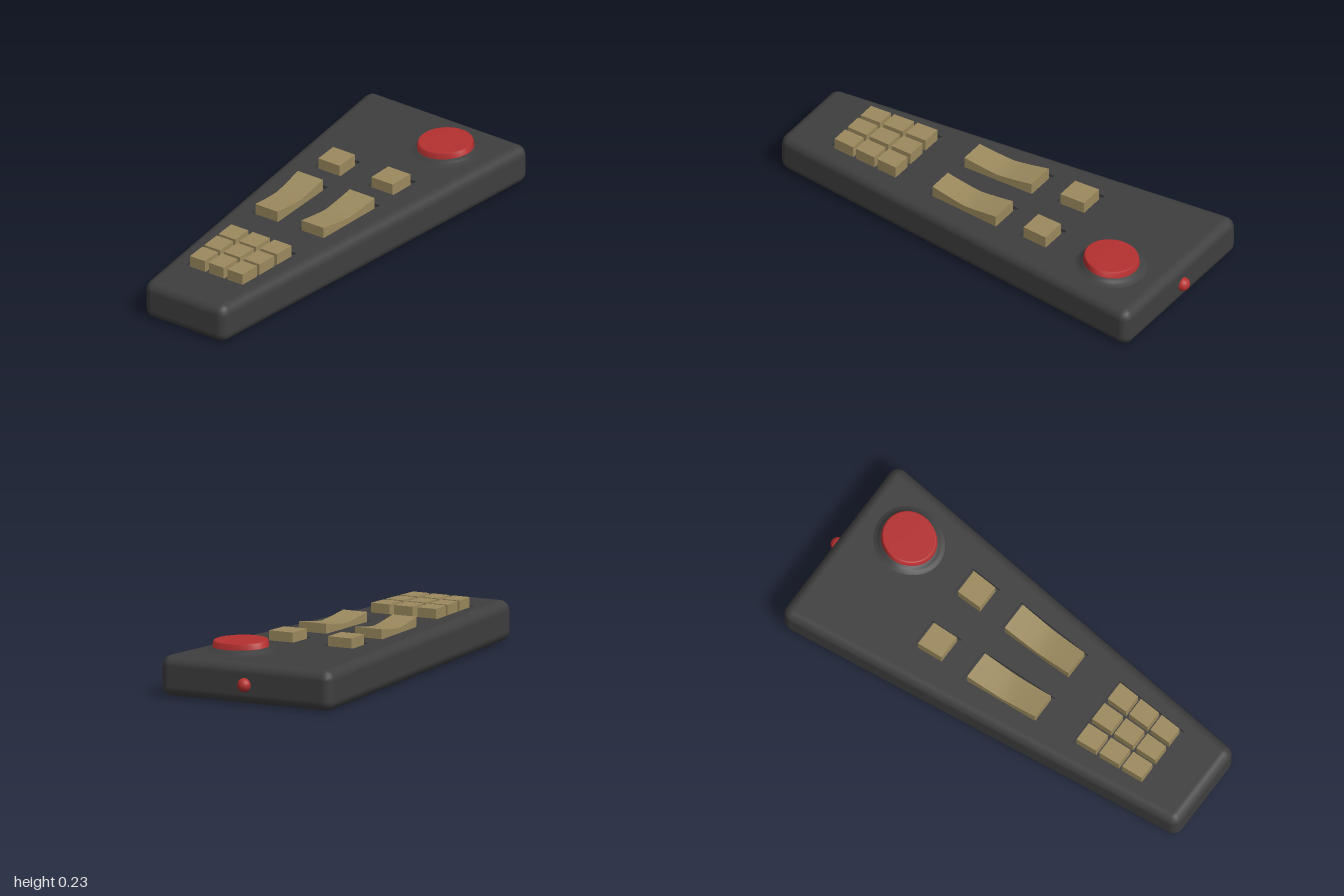
import * as THREE from 'three';

const TOP = 0.18, R = 0.045, BACK = -0.967, FRONT = 1;
const SLOPE = 0.11, TILT = Math.atan(SLOPE);
// half width of the handset at depth z
const halfWidth = (z) => 0.325 - SLOPE * z;

const dark = new THREE.MeshStandardMaterial({ color: 0x3f3f3f });
const recessDark = new THREE.MeshStandardMaterial({ color: 0x3f3f3f, side: THREE.DoubleSide });
const tan = new THREE.MeshStandardMaterial({ color: 0x9c8a5e });
const red = new THREE.MeshStandardMaterial({ color: 0xb53030 });

function add(group, name, geometry, material) {
  const mesh = new THREE.Mesh(geometry, material);
  mesh.name = name;
  group.add(mesh);
  return mesh;
}

// turns x, given as a fraction of the half width, into a real position
function taper(geometry) {
  const p = geometry.attributes.position;
  for (let i = 0; i < p.count; i++) p.setX(i, p.getX(i) * halfWidth(p.getZ(i)));
  geometry.computeVertexNormals();
  return geometry;
}

// tapered block between two width fractions, two depths and two heights
function block([u0, u1, z0, z1], y0, y1, segments = 1, dip = 0) {
  const g = new THREE.BoxGeometry(u1 - u0, y1 - y0, z1 - z0, 1, 1, segments);
  const p = g.attributes.position;
  for (let i = 0; i < p.count; i++) {
    const t = Math.abs(p.getZ(i)) / ((z1 - z0) / 2);
    if (p.getY(i) > 0) p.setY(i, p.getY(i) - dip * (1 - t ** 1.25));
  }
  g.translate((u0 + u1) / 2, (y0 + y1) / 2, (z0 + z1) / 2);
  return taper(g);
}

// rounded shell, open at the top: rings of rounded corners swept upwards
function shellGeometry() {
  const N = 5, M = 10, pos = [], nor = [], idx = [];
  const zc = [FRONT - R, FRONT - R, BACK + R, BACK + R], sx = [1, -1, -1, 1];
  const start = [TILT, Math.PI / 2, Math.PI - TILT, Math.PI * 1.5];
  const end = [Math.PI / 2, Math.PI - TILT, Math.PI * 1.5, Math.PI * 2 + TILT];
  const ring = 4 * (N + 1);
  for (let j = 0; j < M; j++) {
    const upper = j >= M / 2;
    const phi = (upper ? j - M / 2 : j - M / 2 + 1) / (M / 2 - 1) * Math.PI / 2;
    const cy = upper ? TOP - R : R;
    for (let c = 0; c < 4; c++) {
      const cx = sx[c] * (halfWidth(zc[c]) - R / Math.cos(TILT));
      for (let k = 0; k <= N; k++) {
        const a = start[c] + (end[c] - start[c]) * k / N;
        const n = [Math.cos(phi) * Math.cos(a), Math.sin(phi), Math.cos(phi) * Math.sin(a)];
        nor.push(...n);
        pos.push(cx + R * n[0], cy + R * n[1], zc[c] + R * n[2]);
      }
    }
  }
  for (let j = 0; j < M - 1; j++) {
    for (let i = 0; i < ring; i++) {
      const a = j * ring + i, b = j * ring + (i + 1) % ring;
      idx.push(a, a + ring, b, b, a + ring, b + ring);
    }
  }
  // flat underside
  const s = N + 1;
  idx.push(0, s, 2 * s, 0, 2 * s, 3 * s);
  const g = new THREE.BufferGeometry();
  g.setAttribute('position', new THREE.Float32BufferAttribute(pos, 3));
  g.setAttribute('normal', new THREE.Float32BufferAttribute(nor, 3));
  g.setIndex(idx);
  return g;
}

// flat top panel with an opening for every recess
function panelGeometry(recesses) {
  const corners = (f, z0, z1, path) => path.setFromPoints(
    [[0, z0], [1, z0], [1, z1], [0, z1]].map(([s, z]) => new THREE.Vector2(f(s, z), -z)));
  const inset = R / Math.cos(TILT);
  const shape = corners((s, z) => (s ? 1 : -1) * (halfWidth(z) - inset), BACK + R, FRONT - R, new THREE.Shape());
  for (const [u0, u1, z0, z1] of recesses) {
    shape.holes.push(corners((s, z) => (s ? u1 : u0) * halfWidth(z), z0, z1, new THREE.Path()));
  }
  return new THREE.ShapeGeometry(shape).rotateX(-Math.PI / 2).translate(0, TOP, 0);
}

// turned part stretched and skewed to follow the taper
function turned(points, u, z) {
  const g = new THREE.LatheGeometry(points.map(([x, y]) => new THREE.Vector2(x, y)), 40);
  g.scale(1 / halfWidth(z), 1, 1.08).translate(u, TOP, z);
  const p = g.attributes.position;
  for (let i = 0; i < p.count; i++) p.setX(i, p.getX(i) * halfWidth(p.getZ(i)));
  return g;
}

export function createModel() {
  const model = new THREE.Group();
  model.name = 'remoteControl';
  const mirror = ([u0, u1, z0, z1]) => [-u1, -u0, z0, z1];

  // handset body with sunken key wells
  const squareWell = [0.2, 0.605, -0.41, -0.255];
  const rockerWell = [0.17, 0.645, -0.147, 0.232];
  const padWell = [-0.635, 0.635, 0.41, 0.775];
  const wells = [squareWell, mirror(squareWell), rockerWell, mirror(rockerWell), padWell];
  const body = new THREE.Group();
  body.name = 'body';
  model.add(body);
  add(body, 'shell', shellGeometry(), dark);
  add(body, 'topPanel', panelGeometry(wells), dark);
  for (const well of wells) {
    const g = block(well, TOP - 0.015, TOP);
    const index = Array.from(g.index.array);
    index.splice(12, 6); // leave the well open at the top
    g.setIndex(index);
    add(body, 'keyWell', g, recessDark);
  }

  // paired square keys and rocker keys
  const square = [0.24, 0.56, -0.39, -0.27], rocker = [0.213, 0.605, -0.128, 0.218];
  for (const [side, f] of [['left', (b) => b], ['right', mirror]]) {
    add(model, side + 'SquareKey', block(f(square), TOP - 0.015, 0.22), tan);
    add(model, side + 'RockerKey', block(f(rocker), TOP - 0.015, 0.22, 8, 0.023), tan);
  }

  // three by three keypad
  const keypad = new THREE.Group();
  keypad.name = 'keypad';
  model.add(keypad);
  for (let row = 0; row < 3; row++) {
    for (let col = -1; col <= 1; col++) {
      const u = col * 0.415, z = 0.475 + row * 0.1165;
      add(keypad, 'keypadKey', block([u - 0.165, u + 0.165, z - 0.05, z + 0.05], TOP - 0.015, 0.22), tan);
    }
  }

  // large round button on a flared collar
  add(model, 'buttonCollar', turned([[0.152, 0], [0.139, 0.005], [0.129, 0.013], [0.122, 0.024], [0.112, 0.025]], 0.41, -0.705), dark);
  add(model, 'roundButton', turned([[0.12, 0.018], [0.119, 0.026], [0.115, 0.048], [0.112, 0.052], [0.108, 0.0535], [0, 0.054]], 0.41, -0.705), red);

  // signal bulb on the back edge
  add(model, 'signalBulb', new THREE.SphereGeometry(0.031, 24, 16), red).position.set(0, 0.086, -0.969);

  return model;
}
